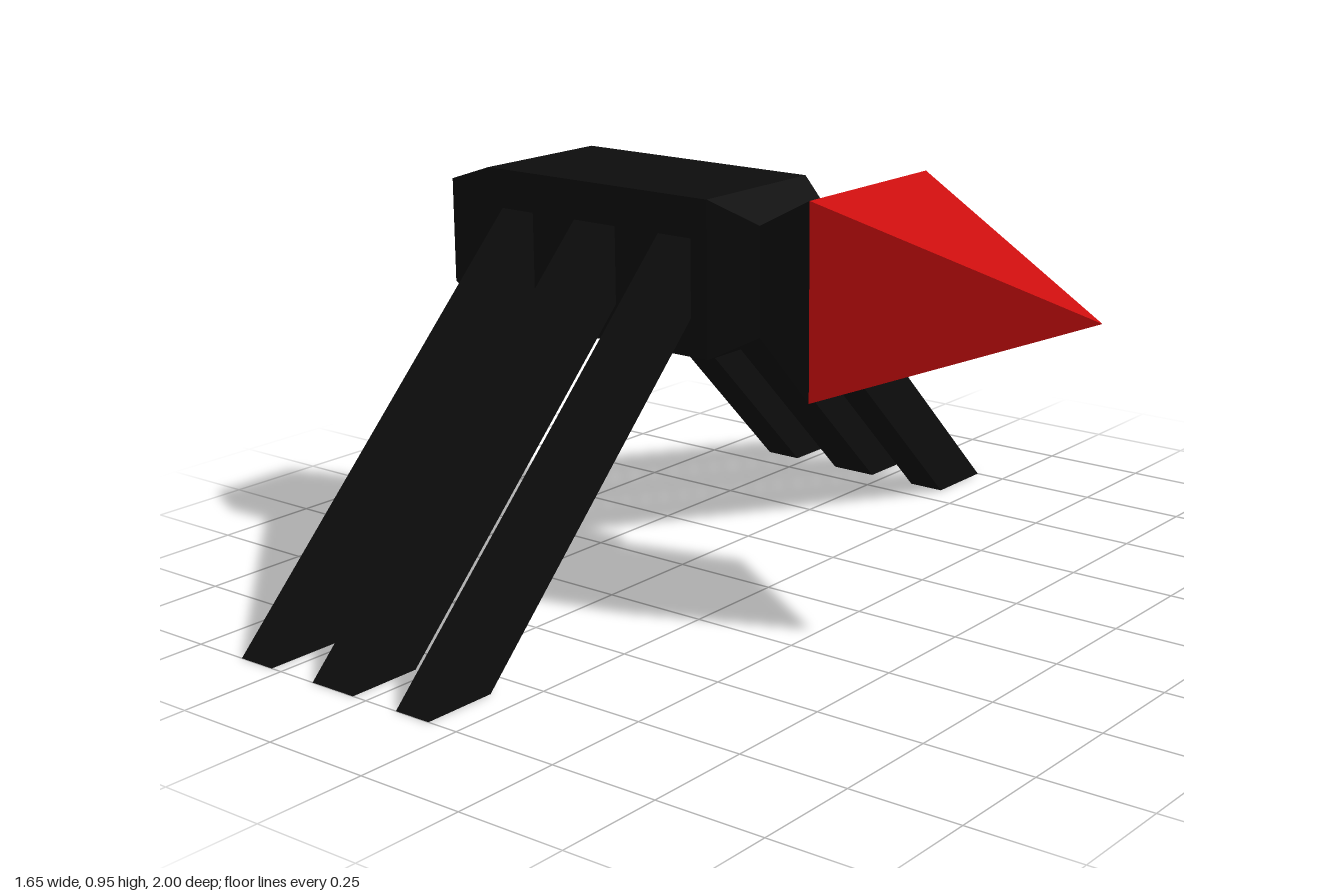
import * as THREE from 'three';

const AXIS_Y = 0.738;

// Rectangular loft along x; each section is [x, half height, half depth]
function loft(sections) {
  const rings = sections.map(([x, h, d]) =>
    [[-h, d], [-h, -d], [h, -d], [h, d]].map(([y, z]) => [x, AXIS_Y + y, z]));
  const pos = [];
  const quad = (a, b, c, d) => pos.push(...a, ...b, ...c, ...a, ...c, ...d);
  for (let s = 0; s < rings.length - 1; s++) {
    for (let i = 0; i < 4; i++) {
      const j = (i + 1) % 4;
      quad(rings[s][i], rings[s][j], rings[s + 1][j], rings[s + 1][i]);
    }
  }
  const [p, q, r, t] = rings[0];
  quad(t, r, q, p);
  quad(...rings[rings.length - 1]);
  const geo = new THREE.BufferGeometry();
  geo.setAttribute('position', new THREE.Float32BufferAttribute(pos, 3));
  geo.computeVertexNormals();
  return geo;
}

// Slanted leg with a flat foot, reaching out to +z (side 1) or -z (side -1)
function legGeometry(width, side) {
  const shape = new THREE.Shape(
    [[1, 0], [0.15, 0.85], [0.15, 0.675], [0.825, 0]].map(([z, y]) => new THREE.Vector2(-z * side, y)));
  const geo = new THREE.ExtrudeGeometry(shape, { depth: width, bevelEnabled: false });
  geo.rotateY(Math.PI / 2); // shape x becomes -z, depth becomes +x
  return geo;
}

export function createModel() {
  const group = new THREE.Group();
  const black = new THREE.MeshStandardMaterial({ color: 0x0d0d0d, flatShading: true });
  black.name = 'black';
  const red = new THREE.MeshStandardMaterial({ color: 0xcc0d0d, flatShading: true });
  red.name = 'red';

  const add = (name, geo, mat) => {
    const mesh = new THREE.Mesh(geo, mat);
    mesh.name = name;
    group.add(mesh);
  };

  // Body tapering at both ends, then flaring into the head
  add('body', loft([
    [-0.83, 0.122, 0.12], [-0.66, 0.175, 0.176], [-0.03, 0.175, 0.176],
    [0.068, 0.122, 0.12],
  ]), black);
  add('head', loft([[0.068, 0.122, 0.12], [0.265, 0.213, 0.212]]), black);

  // Pyramid beak
  add('beak', loft([[0.265, 0.213, 0.212], [0.825, 0.0005, 0.0005]]), red);

  // Three pairs of legs
  const legs = [['rear', -0.62, 0.092], ['middle', -0.405, 0.118], ['front', -0.165, 0.09]];
  for (const [label, x, width] of legs) {
    for (const side of [1, -1]) {
      const geo = legGeometry(width, side);
      geo.translate(x, 0, 0);
      add(`${label}Leg${side > 0 ? 'A' : 'B'}`, geo, black);
    }
  }
  return group;
}
